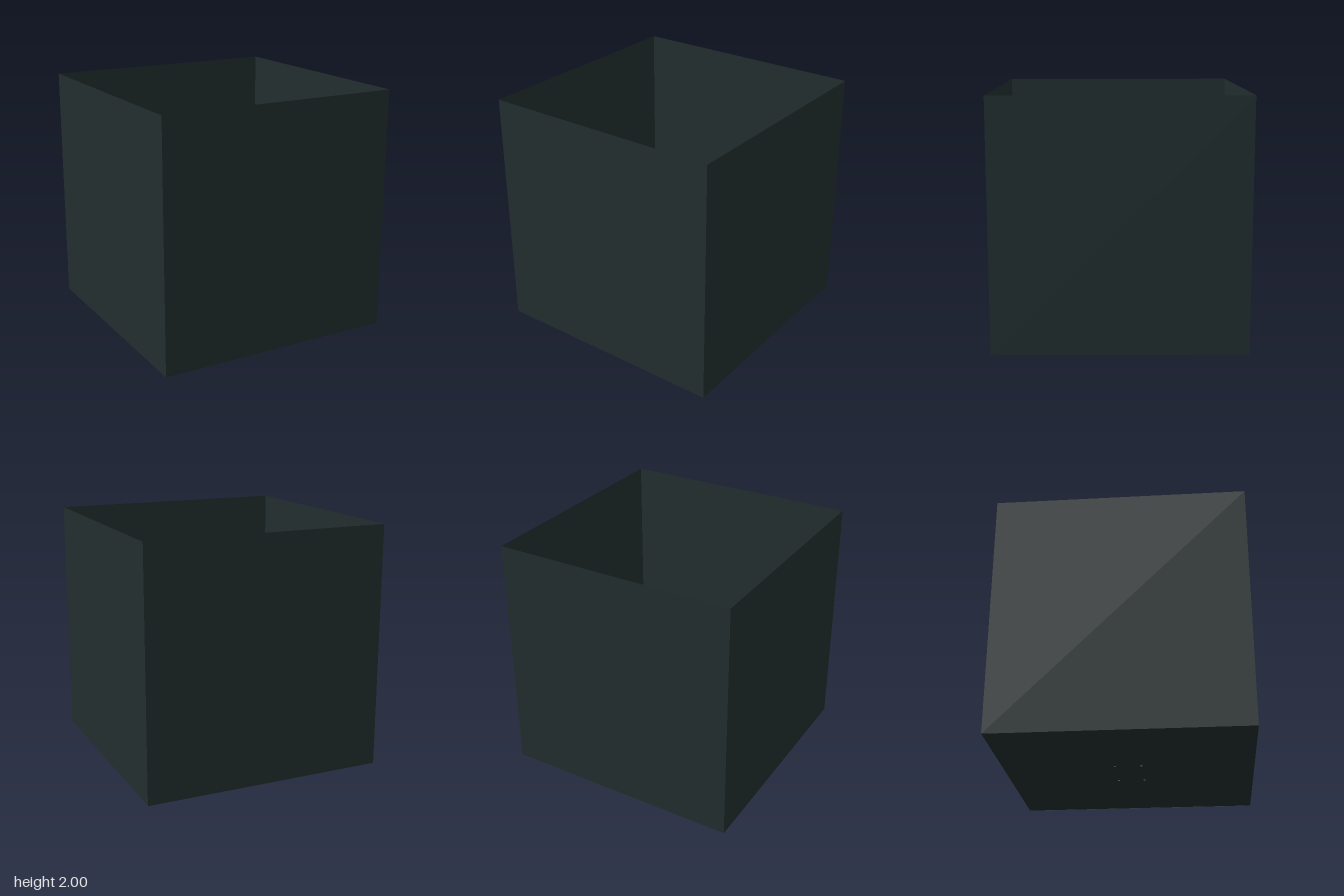
import * as THREE from 'three';

const wallMat = new THREE.MeshStandardMaterial({ name: 'darkSlate', color: 0x222e2e, side: THREE.DoubleSide });
const greyMat = new THREE.MeshStandardMaterial({ name: 'warmGrey', color: 0x958f92 });
const purpleMat = new THREE.MeshStandardMaterial({ name: 'purple', color: 0x8f4cc4 });

function add(parent, name, geometry, material, x = 0, y = 0, z = 0) {
  const mesh = new THREE.Mesh(geometry, material);
  mesh.name = name;
  mesh.position.set(x, y, z);
  parent.add(mesh);
  return mesh;
}

// Open-topped room made of thin sheets
function buildRoom() {
  const room = new THREE.Group();
  room.name = 'room';
  const sheet = new THREE.PlaneGeometry(2, 2);
  add(room, 'floor', sheet, wallMat, 0, 0.002, 0).rotation.x = -Math.PI / 2;
  ['frontWall', 'leftWall', 'backWall', 'rightWall'].forEach((name, i) => {
    const a = i * Math.PI / 2;
    add(room, name, sheet, wallMat, Math.sin(a), 1, Math.cos(a)).rotation.y = a;
  });
  return room;
}

// Cabinet with gently waisted front and back, on four slim splayed legs
function buildCabinet() {
  const cabinet = new THREE.Group();
  cabinet.name = 'cabinet';
  const body = new THREE.BoxGeometry(0.5, 0.3, 0.224, 10, 1, 1);
  const p = body.attributes.position;
  for (let i = 0; i < p.count; i++) {
    const t = p.getX(i) / 0.25;
    p.setZ(i, p.getZ(i) * (1 - 0.04 * (1 - t * t)));
  }
  body.computeVertexNormals();
  add(cabinet, 'cabinetBody', body, greyMat, 0, 0.25, -0.004);

  for (const sx of [-1, 1]) for (const sz of [-1, 1]) {
    const leg = new THREE.CylinderGeometry(0.014, 0.008, 0.1, 12);
    const q = leg.attributes.position;
    for (let i = 0; i < q.count; i++) {
      const drop = 0.5 - q.getY(i) / 0.1;
      q.setX(i, q.getX(i) + sx * 0.02 * drop);
      q.setZ(i, q.getZ(i) + sz * 0.02 * drop);
    }
    leg.computeVertexNormals();
    add(cabinet, 'leg', leg, greyMat, sx * 0.16, 0.05, sz * 0.086);
  }
  return cabinet;
}

// Upright oval ring with flat faces
function ringGeometry(width, height, depth) {
  const shape = new THREE.Shape().absellipse(0, 0, width / 2, height / 2, 0, Math.PI * 2);
  const hole = new THREE.Path().absellipse(0, 0, width / 2 - 0.035, height / 2 - 0.035, 0, Math.PI * 2, true);
  shape.holes.push(hole);
  const g = new THREE.ExtrudeGeometry(shape, { depth, bevelEnabled: false, curveSegments: 20 });
  return g.translate(0, 0, -depth / 2);
}

// Angled piece: a flat top bar over a slanted or straight stem
function barGeometry(width, height, depth, lean) {
  const w = width / 2, h = height / 2, t = 0.035;
  const shape = new THREE.Shape();
  shape.moveTo(-w, h);
  shape.lineTo(-w, h - t);
  shape.lineTo(w - 0.045, h - t);
  shape.lineTo(w - 0.045 - lean, -h);
  shape.lineTo(w - lean, -h);
  shape.lineTo(w, h - t);
  shape.lineTo(w, h);
  const g = new THREE.ExtrudeGeometry(shape, { depth, bevelEnabled: false });
  return g.translate(0, 0, -depth / 2);
}

export function createModel() {
  const model = new THREE.Group();
  model.name = 'roomWithCabinet';
  model.add(buildRoom(), buildCabinet());

  // Floating pieces circling the cabinet: x, y, z, width, lean of bar (none = ring)
  const pieces = [
    [-0.18, 0.55, -0.575, 0.15], [0.18, 0.7, -0.55, 0.16],
    [0.51, 0.5, -0.44, 0.17, 0], [-0.525, 0.65, -0.4, 0.155],
    [0.7, 0.6, -0.165, 0.15], [-0.72, 0.5, -0.13, 0.11, 0],
    [-0.655, 0.7, 0.195, 0.16], [0.56, 0.55, 0.365, 0.16],
    [-0.505, 0.5, 0.535, 0.155, 0.07], [0.065, 0.65, 0.58, 0.15],
  ];
  const floating = new THREE.Group();
  floating.name = 'floatingPieces';
  for (const [x, y, z, width, lean] of pieces) {
    const bar = lean !== undefined;
    const g = bar ? barGeometry(width, 0.22, 0.035, lean) : ringGeometry(width, 0.22, 0.035);
    add(floating, bar ? 'floatingBar' : 'floatingRing', g, purpleMat, x, y, z);
  }
  model.add(floating);
  return model;
}
